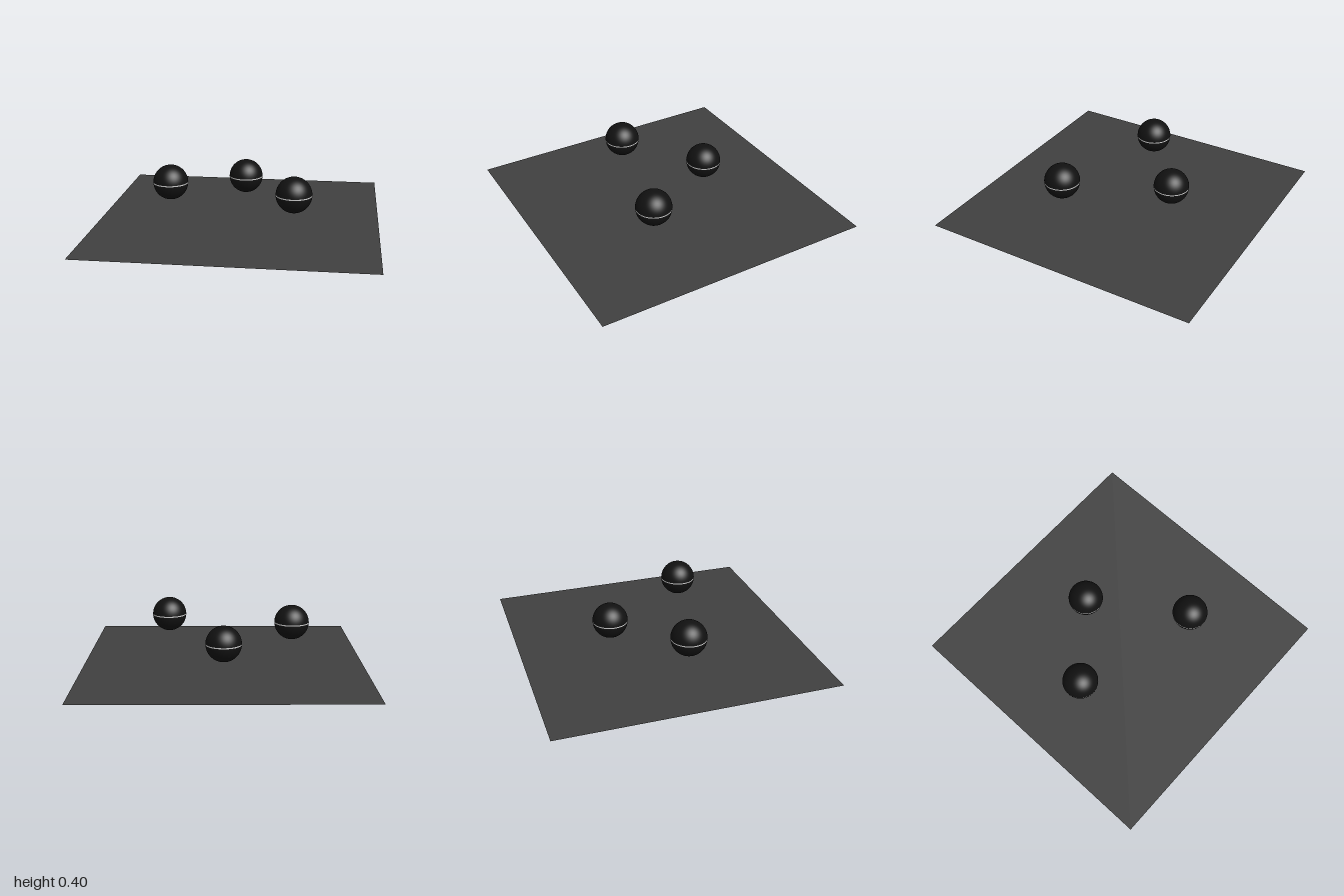
import * as THREE from 'three';

const RADIUS = 0.126;

function createOrb(name, x, y, z, shellMaterial, bandMaterial) {
  const orb = new THREE.Group();
  orb.name = name;
  orb.position.set(x, y, z);

  const shell = new THREE.Mesh(new THREE.SphereGeometry(RADIUS, 64, 32), shellMaterial);
  shell.name = 'shell';

  // Thin pale band around the equator, almost flush with the shell
  const band = new THREE.Mesh(
    new THREE.CylinderGeometry(RADIUS + 0.0005, RADIUS + 0.0005, 0.008, 64, 1, true),
    bandMaterial
  );
  band.name = 'equatorBand';

  orb.add(shell, band);
  return orb;
}

export function createModel() {
  const model = new THREE.Group();
  model.name = 'floatingOrbs';

  const floorMaterial = new THREE.MeshStandardMaterial({ color: 0x404040, side: THREE.DoubleSide });
  const shellMaterial = new THREE.MeshStandardMaterial({ color: 0x111111 });
  const bandMaterial = new THREE.MeshStandardMaterial({ color: 0xffffff, side: THREE.DoubleSide });

  // Flat square floor
  const floor = new THREE.Mesh(new THREE.PlaneGeometry(2, 2).rotateX(-Math.PI / 2), floorMaterial);
  floor.name = 'floor';
  model.add(floor);

  // Three orbs hovering at different heights
  const orbs = [
    ['rightOrb', -0.5, 0.263, 0.07],
    ['backOrb', 0, 0.211, -0.347],
    ['leftOrb', 0.408, 0.272, 0.307],
  ];
  for (const [name, x, y, z] of orbs) {
    model.add(createOrb(name, x, y, z, shellMaterial, bandMaterial));
  }
  return model;
}
